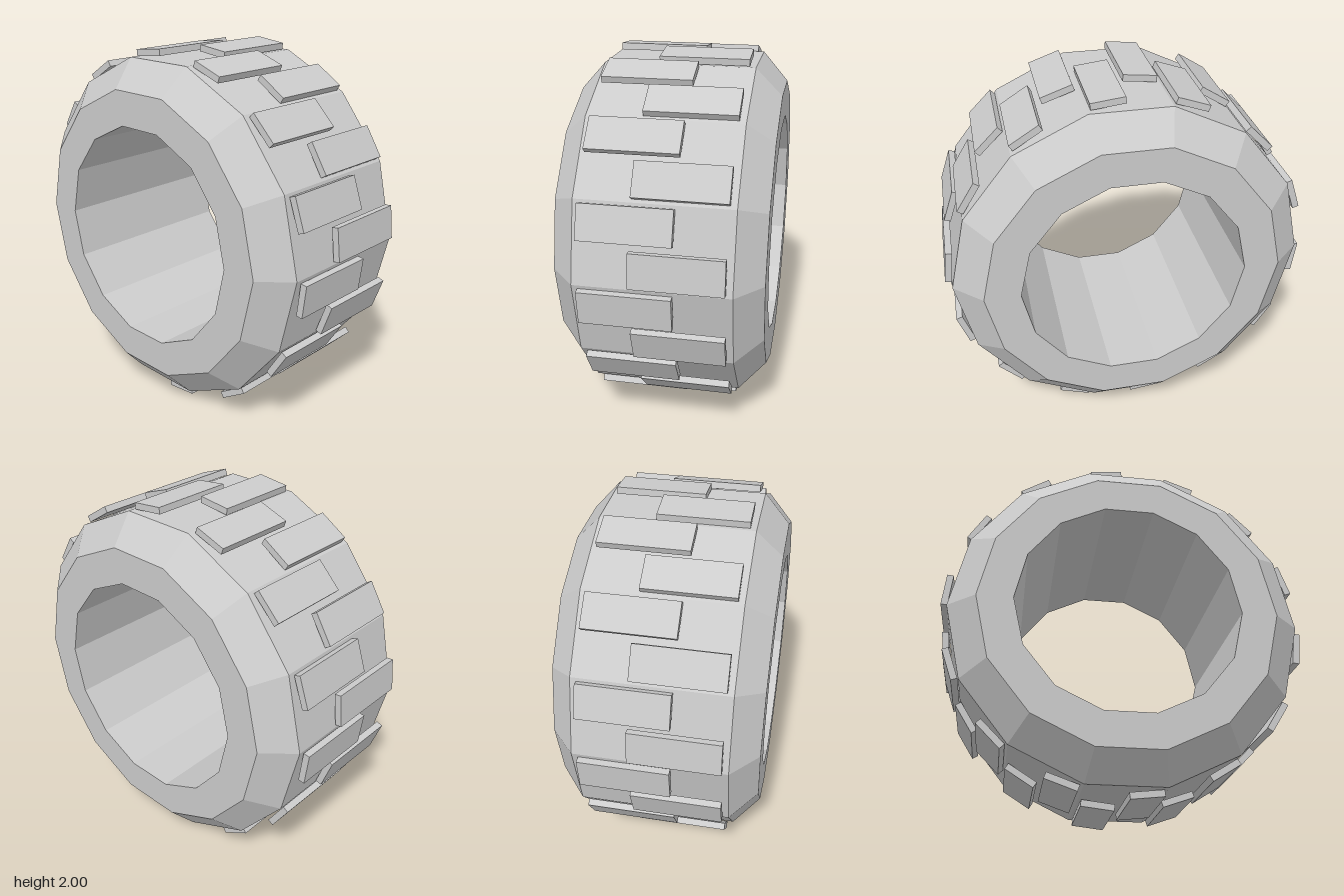
import * as THREE from 'three';

const SIDES = 14;
const TREADS = 28;

export function createModel() {
  const model = new THREE.Group();
  model.name = 'wheelTyre';
  const material = new THREE.MeshStandardMaterial({ color: 0xcccccc, flatShading: true });

  // Tyre ring: closed chamfered profile (radius, axial) swept into 14 flat sides
  const profile = [
    [0.615, -0.54], [0.81, -0.54], [0.965, -0.4],
    [0.965, 0.4], [0.81, 0.54], [0.615, 0.54], [0.615, -0.54],
  ].map(([r, a]) => new THREE.Vector2(r, a));
  const ring = new THREE.Mesh(new THREE.LatheGeometry(profile, SIDES), material);
  ring.name = 'tyreRing';
  ring.rotation.z = -Math.PI / 2;
  ring.position.y = 1;
  model.add(ring);

  // Tread blocks: staggered left and right around the ring
  const treads = new THREE.Group();
  treads.name = 'treadBlocks';
  treads.position.y = 1;
  const blockGeometry = new THREE.BoxGeometry(0.475, 0.182, 0.036);
  for (let i = 0; i < TREADS; i++) {
    const angle = ((i + 0.5) / TREADS) * Math.PI * 2;
    const block = new THREE.Mesh(blockGeometry, material);
    block.name = 'treadBlock';
    block.position.set(
      i % 2 === 0 ? 0.129 : -0.131,
      Math.sin(angle) * 0.978,
      Math.cos(angle) * 0.978
    );
    block.rotation.x = -angle;
    treads.add(block);
  }
  model.add(treads);

  return model;
}
